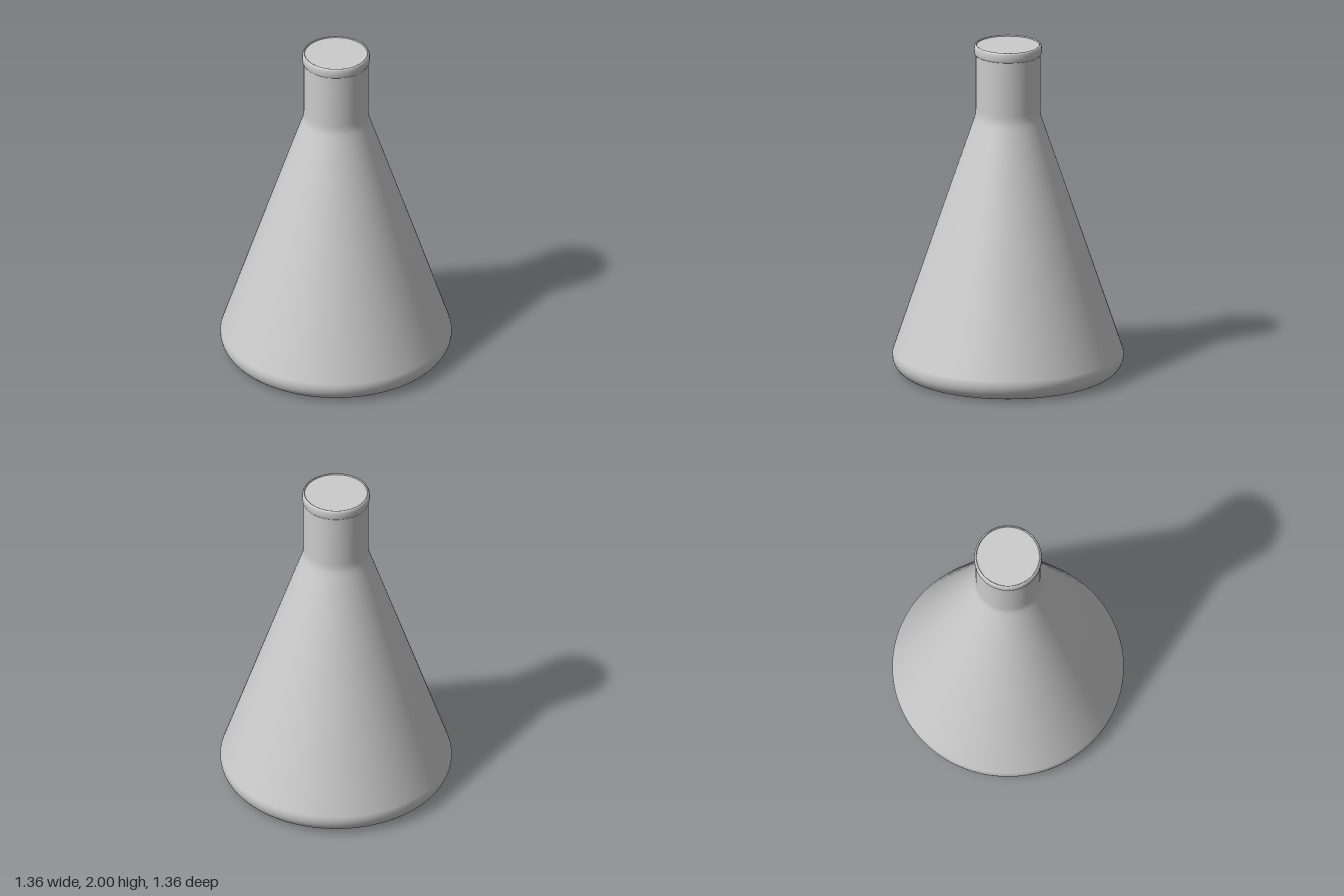
import * as THREE from 'three';

const SEGMENTS = 96;
const material = new THREE.MeshStandardMaterial({ color: 0xcccccc });

// Spins a list of [radius, height] points around the y axis
function lathe(name, points) {
  const profile = points.map(([r, y]) => new THREE.Vector2(r, y));
  const mesh = new THREE.Mesh(new THREE.LatheGeometry(profile, SEGMENTS), material);
  mesh.name = name;
  return mesh;
}

// Points along an arc, angles in degrees
function arc(cx, cy, radius, from, to, steps) {
  return Array.from({ length: steps + 1 }, (_, i) => {
    const a = THREE.MathUtils.degToRad(from + ((to - from) * i) / steps);
    return [cx + radius * Math.cos(a), cy + radius * Math.sin(a)];
  });
}

export function createModel() {
  const group = new THREE.Group();
  group.name = 'conicalFlask';

  // Flat underside
  const base = new THREE.Mesh(new THREE.CircleGeometry(0.58, SEGMENTS), material);
  base.name = 'base';
  base.rotation.x = Math.PI / 2;
  group.add(base);

  // Rounded foot, conical wall, soft shoulder and straight neck
  group.add(lathe('body', [
    ...arc(0.58, 0.1, 0.1, -90, 18.6, 14),
    [0.53, 0.564],
    [0.38, 1.01],
    [0.205, 1.528],
    [0.196, 1.556],
    [0.191, 1.58],
    [0.19, 1.61],
    [0.19, 1.95],
  ]));

  // Beaded lip around the mouth
  group.add(lathe('rim', [
    [0.188, 1.938],
    [0.194, 1.94],
    [0.198, 1.95],
    [0.199, 1.97],
    [0.198, 1.988],
    [0.194, 1.997],
    [0.189, 2],
    [0.185, 1.998],
    [0.184, 1.985],
  ]));

  // Disc closing the mouth
  const mouth = new THREE.Mesh(new THREE.CircleGeometry(0.186, SEGMENTS), material);
  mouth.name = 'mouth';
  mouth.rotation.x = -Math.PI / 2;
  mouth.position.y = 1.992;
  group.add(mouth);

  return group;
}
